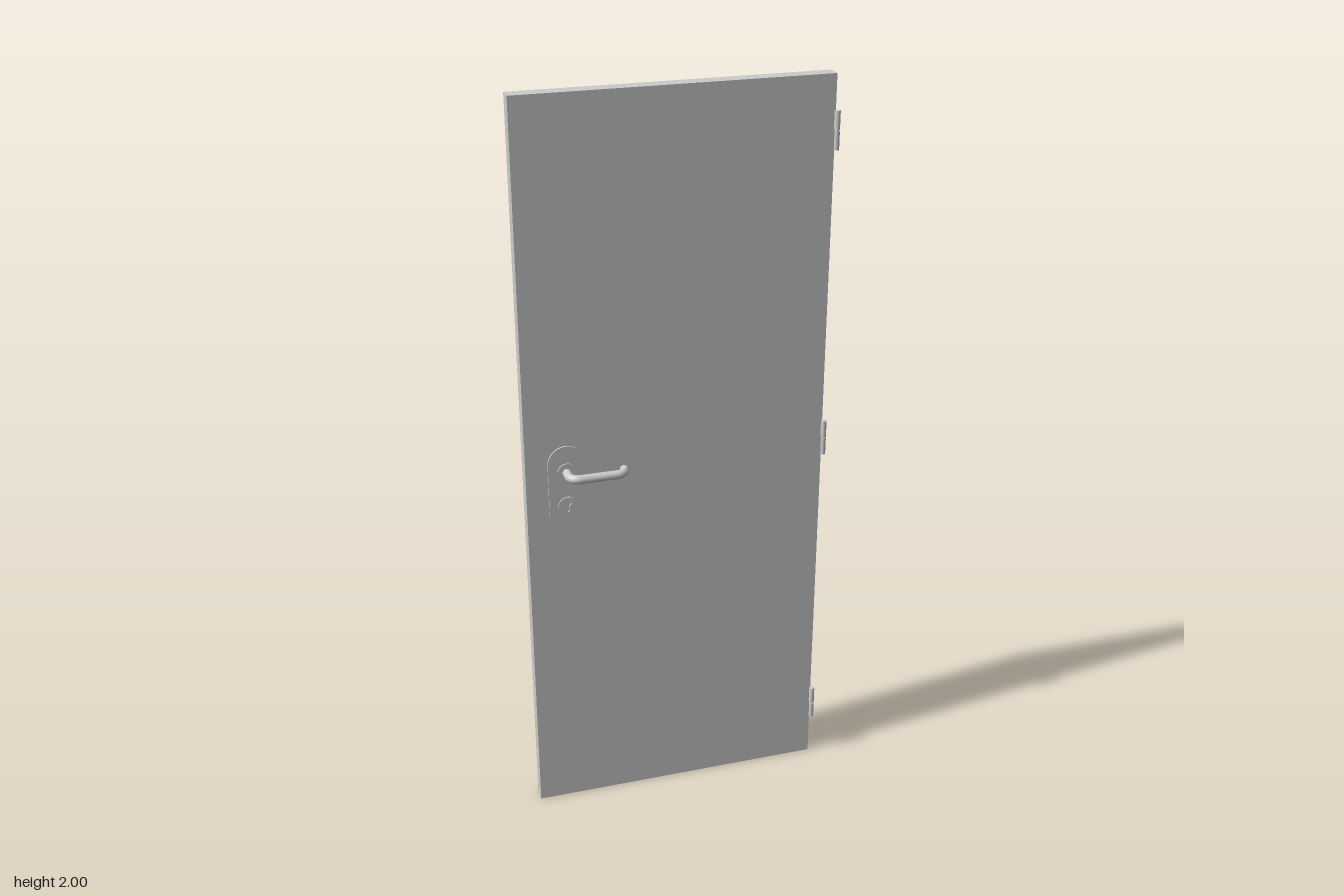
import * as THREE from 'three';

const material = new THREE.MeshStandardMaterial({ color: 0xcccccc });

function addMesh(parent, name, geometry, x = 0, y = 0, z = 0) {
  const mesh = new THREE.Mesh(geometry, material);
  mesh.name = name;
  mesh.position.set(x, y, z);
  parent.add(mesh);
  return mesh;
}

const FRONT = -0.0134; // front face of the leaf
const BACK = -0.0535;
const LOCK_X = -0.303; // axis of the handle and keyhole
const HANDLE_Y = 1.027;
const KEY_Y = 0.931;

// Upright plate with semicircular ends
function stadium(width, height) {
  const r = width / 2, h = height / 2 - r;
  const shape = new THREE.Shape();
  shape.absarc(0, h, r, 0, Math.PI, false);
  shape.absarc(0, -h, r, Math.PI, Math.PI * 2, false);
  shape.closePath();
  return shape;
}

// Round collar with a cylinder-lock opening
function keyCollarShape() {
  const shape = new THREE.Shape();
  shape.absarc(0, 0, 0.025, 0, Math.PI * 2, false);
  const hole = new THREE.Path();
  hole.absarc(0, 0.008, 0.009, -Math.PI / 3, Math.PI * 4 / 3, false);
  hole.absarc(0, -0.013, 0.0045, Math.PI, Math.PI * 2, false);
  hole.closePath();
  shape.holes.push(hole);
  return shape;
}

const extrude = (shape, depth) =>
  new THREE.ExtrudeGeometry(shape, { depth, bevelEnabled: false, curveSegments: 24 });

// Bent bar handle with a returned, rounded tip
function createHandle() {
  const handle = new THREE.Group();
  handle.name = 'handle';
  const v = (x, z) => new THREE.Vector3(x, 0, z);
  const r = 0.0118, barZ = 0.0417, bend = 0.024, tipX = -0.157, tipZ = 0.018, k = 0.45;
  const path = new THREE.CurvePath();
  path.add(new THREE.LineCurve3(v(LOCK_X, FRONT), v(LOCK_X, barZ - bend)));
  path.add(new THREE.CubicBezierCurve3(
    v(LOCK_X, barZ - bend), v(LOCK_X, barZ - bend * k),
    v(LOCK_X + bend * k, barZ), v(LOCK_X + bend, barZ)));
  path.add(new THREE.LineCurve3(v(LOCK_X + bend, barZ), v(tipX - bend, barZ)));
  path.add(new THREE.CubicBezierCurve3(
    v(tipX - bend, barZ), v(tipX - bend * k, barZ),
    v(tipX, barZ - bend * k), v(tipX, tipZ)));
  addMesh(handle, 'handleBar', new THREE.TubeGeometry(path, 80, r, 20, false));
  addMesh(handle, 'handleTip', new THREE.SphereGeometry(r, 20, 14), tipX, 0, tipZ);
  handle.position.y = HANDLE_Y;
  return handle;
}

// Two-knuckle hinge: fixed half below with its flat leaf, door half above
function createHinge(y) {
  const hinge = new THREE.Group();
  hinge.name = 'hinge';
  const r = 0.0066, x = 0.4015, z = -0.0075, half = 0.047;
  for (const [side, name] of [[1, 'upper'], [-1, 'lower']]) {
    const cy = side * 0.0255;
    addMesh(hinge, name + 'Knuckle', new THREE.CylinderGeometry(r, r, half, 20), x, cy, z);
  }
  addMesh(hinge, 'hingePin', new THREE.CylinderGeometry(0.0045, 0.0045, 0.09, 16), x, 0, z);
  addMesh(hinge, 'upperLeaf', new THREE.BoxGeometry(0.0015, half, 0.008), x - r + 0.00075, 0.0255, z - 0.004);
  addMesh(hinge, 'lowerLeaf', new THREE.BoxGeometry(0.0015, half, 0.0245), x + r - 0.00075, -0.0255, z - 0.01225);
  hinge.position.y = y;
  return hinge;
}

export function createModel() {
  const door = new THREE.Group();
  door.name = 'door';

  // Leaf
  addMesh(door, 'doorLeaf', new THREE.BoxGeometry(0.808, 2, FRONT - BACK), -0.006, 1, (FRONT + BACK) / 2);

  // Lock plate with its two collars
  addMesh(door, 'lockPlate', extrude(stadium(0.097, 0.24), 0.0045), LOCK_X, 0.98, FRONT);
  const collar = new THREE.CylinderGeometry(0.025, 0.025, 0.008, 32).rotateX(Math.PI / 2);
  addMesh(door, 'handleCollar', collar, LOCK_X, HANDLE_Y, FRONT + 0.004);
  addMesh(door, 'keyCollar', extrude(keyCollarShape(), 0.008), LOCK_X, KEY_Y, FRONT);

  door.add(createHandle());
  for (const y of [0.174, 1.031, 1.862]) door.add(createHinge(y));
  return door;
}
